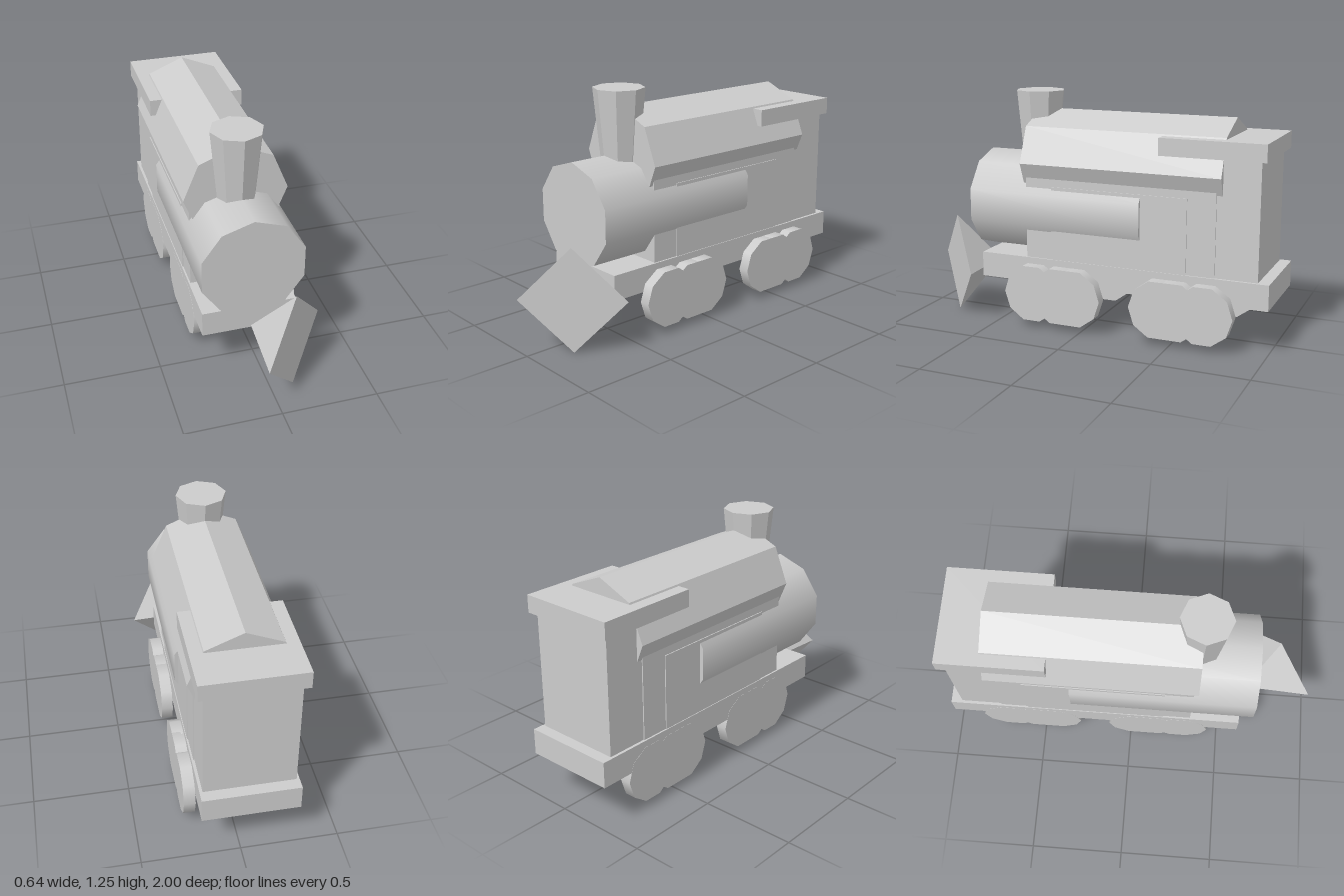
import * as THREE from 'three';

export function createModel() {
  const model = new THREE.Group();
  const grey = new THREE.MeshStandardMaterial({ color: 0xcccccc });
  grey.name = 'lightGrey';
  const midX = -0.05; // centre line of the engine

  const add = (name, geometry, x, y, z) => {
    const mesh = new THREE.Mesh(geometry, grey);
    mesh.name = name;
    mesh.position.set(x, y, z);
    model.add(mesh);
    return mesh;
  };

  // Box on the centre line, given half width and y / z ranges
  const box = (name, half, y0, y1, z0, z1) =>
    add(name, new THREE.BoxGeometry(half * 2, y1 - y0, z1 - z0), midX, (y0 + y1) / 2, (z0 + z1) / 2);

  // Cylinder lying along z
  const barrel = (name, geometry, y, z0, z1) =>
    add(name, geometry.rotateX(Math.PI / 2), midX, y, (z0 + z1) / 2);

  // Faceted copy of a geometry
  const faceted = (geometry) => {
    const g = geometry.toNonIndexed();
    g.computeVertexNormals();
    return g;
  };

  // Chassis, body and cab
  box('chassis', 0.247, 0.245, 0.38, -1, 0.6);
  box('body', 0.238, 0.375, 0.83, -0.72, 0.33);
  box('sidePanels', 0.243, 0.375, 0.775, -0.57, 0.18);
  box('cab', 0.232, 0.375, 1.0, -0.94, -0.7);
  box('cabRoof', 0.26, 0.985, 1.075, -0.97, -0.42);

  // Boiler and the faceted hood above it
  barrel('boiler', new THREE.CylinderGeometry(0.275, 0.275, 0.98, 10), 0.647, -0.32, 0.66);
  barrel('hood', faceted(new THREE.CylinderGeometry(0.27, 0.27, 1.1, 8)), 0.893, -0.75, 0.35);

  // Flared chimney
  add('chimney', faceted(new THREE.CylinderGeometry(0.135, 0.095, 0.42, 8)), midX, 1.05, 0.355);

  // Overlapping wheels, mirrored front to rear
  const wheel = new THREE.CylinderGeometry(0.158, 0.158, 0.06, 10).rotateZ(Math.PI / 2);
  for (const [side, x] of [['left', 0.227], ['right', -0.268]]) {
    for (const z of [0.275, 0.118, 0.037]) {
      add(side + 'FrontWheel', wheel, x, 0.195, z);
      add(side + 'RearWheel', wheel, x, 0.195, -0.405 - z);
    }
  }

  // Four-sided pilot wedge, turned diagonally with its tip pointing back
  const height = 0.245;
  const offset = height / 2 / Math.SQRT2;
  const pilot = add('pilot', faceted(new THREE.ConeGeometry(0.275, height, 4)), 0.122 - offset, 0.28, 0.803 - offset);
  pilot.rotation.set(Math.PI / 2, -Math.PI * 0.75, 0, 'YXZ');

  return model;
}
